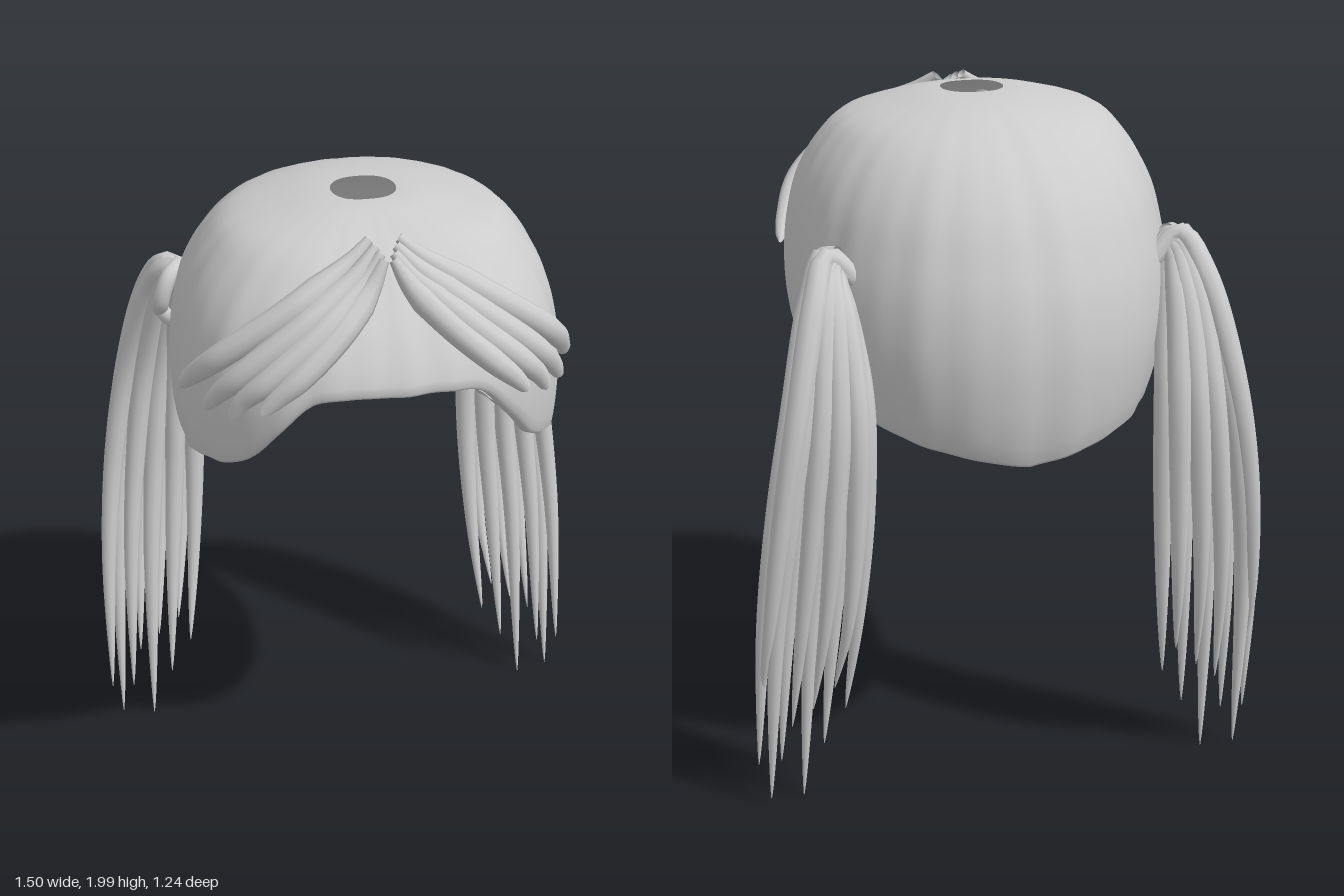
import * as THREE from 'three';

const material = new THREE.MeshStandardMaterial({ color: 0xcccccc, side: THREE.DoubleSide });
const CENTRE_Z = 0.08;

// Smooth function through a few samples
function smooth(xs, ys) {
  const f = new THREE.CubicInterpolant(xs, ys, 1);
  return (x) => f.evaluate(x)[0];
}

// Cap profiles: share of the full radius at each depth below the crown
const depths = [2, 1.98, 1.94, 1.87, 1.75, 1.65, 1.55, 1.4, 1.3, 1.19, 1.09].map((y) => Math.sqrt(2 - y));
const frontProfile = smooth(depths, [0.147, 0.32, 0.48, 0.66, 0.88, 0.98, 1, 0.97, 0.95, 0.92, 0.9]);
const sideProfile = smooth(depths, [0.167, 0.42, 0.67, 0.81, 0.93, 0.975, 1, 1, 0.965, 0.88, 0.8]);
const backProfile = smooth(depths, [0.114, 0.36, 0.5, 0.66, 0.82, 0.9, 0.96, 1, 1, 0.985, 0.95]);

// Height of the lower edge by angle from the front, in degrees
const rimHeight = smooth(
  [0, 14, 25, 35, 45, 68, 93, 108, 139, 180],
  [1.64, 1.64, 1.62, 1.52, 1.42, 1.34, 1.26, 1.21, 1.17, 1.09]
);

// Point on the cap at an angle and height, pushed outward by lift
function capPoint(angle, y, lift = 0) {
  const s = Math.sin(angle), c = Math.cos(angle);
  const n = c > 0 ? 2.35 : 2.2;
  const full = Math.pow(Math.pow(Math.abs(s) / 0.54, n) + Math.pow(Math.abs(c) / (c > 0 ? 0.545 : 0.7), n), -1 / n);
  const u = Math.sqrt(Math.max(0, 2 - y));
  const share = s * s * sideProfile(u) + c * c * (c > 0 ? frontProfile(u) : backProfile(u));
  const wave = 0.003 * Math.min(1, u * 2) * (Math.sin(angle * 31) + Math.sin(angle * 19 + 1));
  const r = full * (share + wave) + lift;
  return new THREE.Vector3(s * r, y, CENTRE_Z + c * r);
}

// Open cap with a round crown hole and a lower edge that turns inward
function makeCap() {
  const sides = 160, rows = 32, lip = [[-0.012, -0.012], [-0.035, -0.015], [-0.05, 0.005]];
  const positions = [], index = [];
  for (let i = 0; i <= rows + lip.length; i++) {
    for (let j = 0; j < sides; j++) {
      const angle = (j / sides) * Math.PI * 2;
      const degrees = Math.min(angle, Math.PI * 2 - angle) * 180 / Math.PI;
      const rim = rimHeight(degrees);
      let p;
      if (i <= rows) {
        p = capPoint(angle, 2 - (2 - rim) * (i / rows) ** 2);
      } else {
        const [inward, down] = lip[i - rows - 1];
        p = capPoint(angle, rim, inward);
        p.y += down;
      }
      positions.push(p.x, p.y, p.z);
      if (i > 0) {
        const k = (j + 1) % sides, a = (i - 1) * sides, b = i * sides;
        index.push(a + j, b + j, a + k, b + j, b + k, a + k);
      }
    }
  }
  const geometry = new THREE.BufferGeometry();
  geometry.setAttribute('position', new THREE.Float32BufferAttribute(positions, 3));
  geometry.setIndex(index);
  geometry.computeVertexNormals();
  return geometry;
}

// Lock of hair: a tube whose radius follows a rule along its length
function makeLock(name, points, radius, segments = 36) {
  const curve = new THREE.CatmullRomCurve3(points, false, 'centripetal');
  const sides = 10;
  const geometry = new THREE.TubeGeometry(curve, segments, 1, sides);
  const pos = geometry.attributes.position, v = new THREE.Vector3();
  for (let i = 0; i <= segments; i++) {
    const centre = curve.getPointAt(i / segments), r = radius(i / segments);
    for (let j = 0; j <= sides; j++) {
      const k = i * (sides + 1) + j;
      v.fromBufferAttribute(pos, k).sub(centre).multiplyScalar(r).add(centre);
      pos.setXYZ(k, v.x, v.y, v.z);
    }
  }
  const mesh = new THREE.Mesh(geometry, material);
  mesh.name = name;
  return mesh;
}

// Swept fringe locks: [angle in degrees, height] from parting to tip
const fringePaths = [
  [[8, 1.975], [17, 1.93], [34, 1.84], [54, 1.69], [66, 1.59], [73, 1.53]],
  [[5, 1.965], [14, 1.905], [30, 1.8], [45, 1.67], [53, 1.59], [58, 1.53]],
  [[3, 1.955], [10, 1.895], [24, 1.79], [37, 1.67], [44, 1.6], [48, 1.54]],
  [[2, 1.945], [8, 1.88], [18, 1.79], [28, 1.69], [34, 1.63], [38, 1.58]],
];

function makeFringe(side) {
  const group = new THREE.Group();
  group.name = side > 0 ? 'leftFringe' : 'rightFringe';
  for (const path of fringePaths) {
    const points = path.map(([deg, y], i) => {
      const p = capPoint(deg * Math.PI / 180, y, i === 0 ? 0.1 : i === 1 ? 0.035 : 0.012);
      p.x *= side;
      return p;
    });
    const radius = (t) => 0.005 + 0.034 * Math.min(1, 0.25 + t * 3) * Math.sqrt(Math.max(0, 1 - t ** 4));
    group.add(makeLock('fringeLock', points, radius));
  }
  return group;
}

// Pigtail locks: [place across the tail 0..1, depth offset, tip height]
const tailLocks = [
  [0, 0.02, 0.28], [0.13, -0.03, 0.36], [0.25, 0.03, 0.17], [0.38, -0.035, 0.3], [0.5, 0.02, 0.01],
  [0.62, -0.03, 0.25], [0.74, 0.03, 0.13], [0.88, -0.02, 0.02], [1, 0.015, 0.13], [0.97, -0.035, 0.33],
];

function makePigtail(side) {
  const group = new THREE.Group();
  group.name = side > 0 ? 'leftPigtail' : 'rightPigtail';
  const at = (x, y, z) => new THREE.Vector3(x * side, y, z);
  for (const [k, d, tip] of tailLocks) {
    const points = [
      at(0.41, 1.56, -0.32),
      at(0.47 + 0.035 * k, 1.59 + 0.05 * k, -0.3 + d * 0.5),
      at(0.46 + 0.1 * k, 1.49 + 0.04 * k, -0.37 + d),
      at(0.435 + 0.195 * k, 1.25, -0.45 + d),
      at(0.435 + 0.25 * k, 0.95, -0.455 + d),
      at(0.455 + 0.27 * k, 0.6, -0.415 + d * 0.8),
      at(0.485 + 0.26 * k, tip, -0.345 + d * 0.4),
    ];
    const radius = (t) => 0.001 + 0.036 * Math.min(1, 0.65 + t * 2) * Math.pow(Math.max(0, 1 - t ** 2.2), 0.75);
    group.add(makeLock('tailLock', points, radius, 48));
  }
  // Thin lock wrapped around the root
  const wrap = [
    at(0.47, 1.64, -0.3), at(0.51, 1.62, -0.25), at(0.535, 1.55, -0.245),
    at(0.53, 1.495, -0.29), at(0.51, 1.485, -0.25), at(0.49, 1.49, -0.2),
  ];
  group.add(makeLock('tieLock', wrap, (t) => 0.003 + 0.022 * Math.sqrt(Math.max(0, 1 - t ** 6))));
  return group;
}

export function createModel() {
  const model = new THREE.Group();
  model.name = 'hairpiece';
  const cap = new THREE.Mesh(makeCap(), material);
  cap.name = 'hairCap';
  model.add(cap);
  for (const side of [1, -1]) model.add(makeFringe(side), makePigtail(side));
  return model;
}
